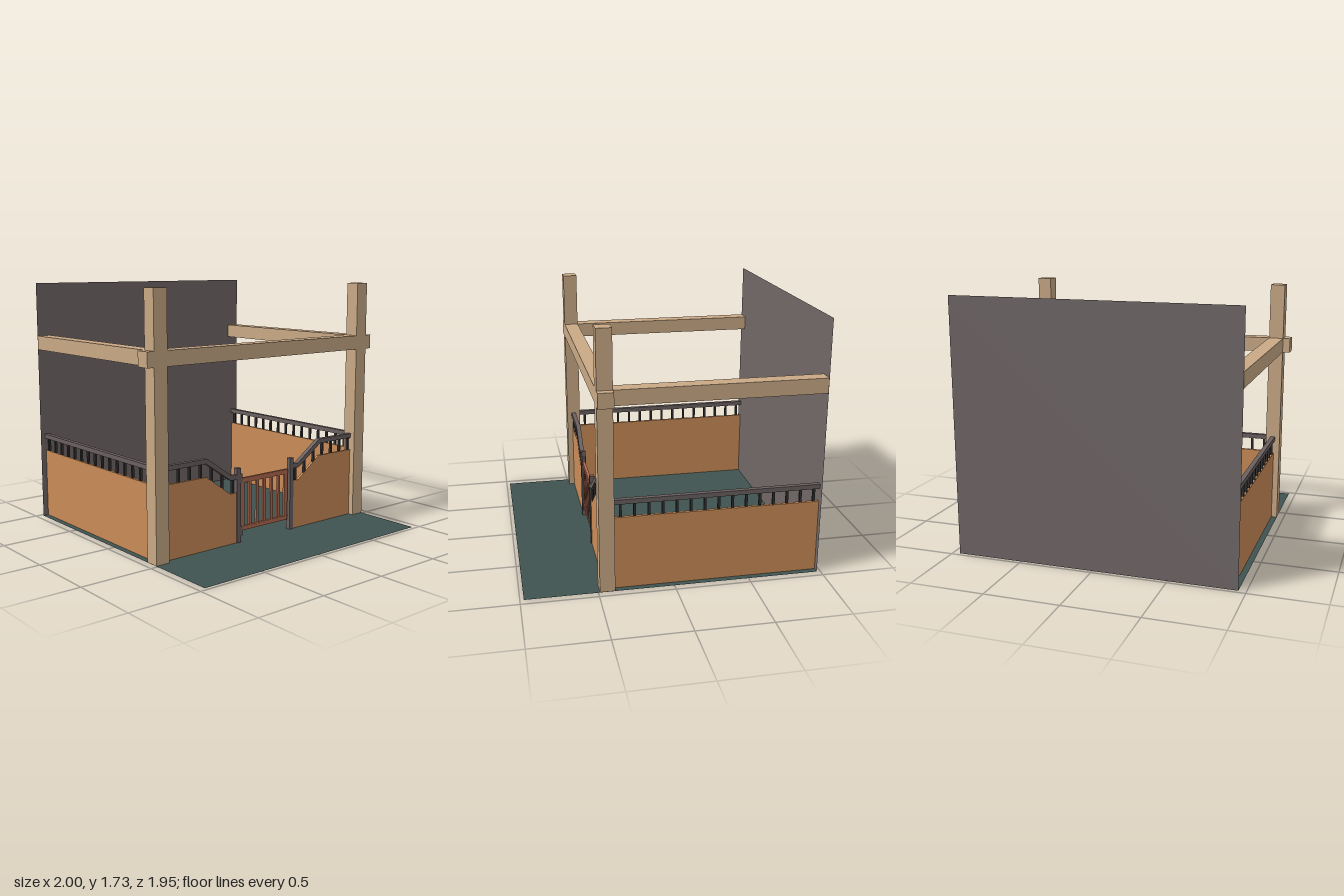
import * as THREE from 'three';

const mat = (name, color, extra = {}) => {
  const m = new THREE.MeshStandardMaterial({ color, ...extra });
  m.name = name;
  return m;
};

export function createModel() {
  const group = new THREE.Group();
  const timber = mat('pale timber', 0xc9a986);
  const panel = mat('orange panel', 0xc98b57);
  const rail = mat('grey rail', 0x6a6060);
  const dark = mat('dark baluster', 0x333031);
  const gateRed = mat('gate red', 0xb06a50);
  const floorGreen = mat('floor green', 0x405350, { side: THREE.DoubleSide });
  const wallGrey = mat('wall grey', 0x716767, { side: THREE.DoubleSide });

  const add = (name, geometry, material) => {
    const mesh = new THREE.Mesh(geometry, material);
    mesh.name = name;
    group.add(mesh);
    return mesh;
  };
  // box given by its limits on each axis
  const box = (name, material, x0, x1, y0, y1, z0, z1) => {
    const g = new THREE.BoxGeometry(x1 - x0, y1 - y0, z1 - z0);
    g.translate((x0 + x1) / 2, (y0 + y1) / 2, (z0 + z1) / 2);
    return add(name, g, material);
  };
  // outline in x and y, centred in depth on the front line
  const slab = (name, material, points, depth) => {
    const shape = new THREE.Shape(points.map(([x, y]) => new THREE.Vector2(x, y)));
    const g = new THREE.ExtrudeGeometry(shape, { depth, bevelEnabled: false });
    g.translate(0, 0, FRONT - depth / 2);
    return add(name, g, material);
  };
  const FRONT = 0.44, BACK = -0.975, LIFT = 0.001;

  // floor sheet and back wall sheet
  add('floor', new THREE.PlaneGeometry(1.9, 1.95).rotateX(-Math.PI / 2), floorGreen);
  add('backWall', new THREE.PlaneGeometry(1.9, 1.73).translate(0, 0.865, BACK), wallGrey);

  // timber frame
  box('frontBeam', timber, -1, 1, 1.25, 1.35, 0.39, 0.49);
  for (const s of [-1, 1]) {
    const x = s * 0.9;
    box('cornerPost', timber, x - 0.05, x + 0.05, LIFT, 1.73, 0.39, 0.49);
    box('sideBeam', timber, x - 0.05, x + 0.05, 1.25, 1.35, BACK + LIFT, 0.39);

    // side fence
    box('sidePanel', panel, x - 0.01, x + 0.01, LIFT, 0.497, BACK + LIFT, 0.39);
    box('sideRail', rail, x - 0.016, x + 0.016, 0.588, 0.62, BACK + LIFT, 0.39);
    for (let i = 0; i < 15; i++) {
      const z = 0.345 - i * 0.0916;
      box('sideBaluster', dark, x - 0.008, x + 0.008, 0.497, 0.59, z - 0.008, z + 0.008);
    }

    // front fence, dipping towards the gate
    const top = [[0.26, 0.35], [0.315, 0.35], [0.517, 0.497], [0.85, 0.497]];
    slab('frontPanel', panel,
      [[0.26, LIFT], ...top, [0.85, LIFT]].map(([px, y]) => [s * px, y]), 0.02);
    const railTop = [[0.25, 0.475], [0.305, 0.475], [0.515, 0.62], [0.85, 0.62]];
    const railLow = [[0.25, 0.443], [0.315, 0.443], [0.525, 0.588], [0.85, 0.588]];
    slab('frontRail', rail,
      [...railTop, ...railLow.reverse()].map(([px, y]) => [s * px, y]), 0.032);
    for (let i = 0; i < 7; i++) {
      const bx = 0.29 + i * 0.09;
      const t = THREE.MathUtils.clamp((bx - 0.315) / 0.202, 0, 1);
      const y = 0.35 + t * 0.147;
      box('frontBaluster', dark, s * bx - 0.008, s * bx + 0.008, y - 0.008, y + 0.1,
        FRONT - 0.008, FRONT + 0.008);
    }

    // gate post
    const px = s * 0.245;
    box('gatePost', rail, px - 0.017, px + 0.017, LIFT, 0.518, FRONT - 0.017, FRONT + 0.017);
  }

  // gate: rails, end stiles and slats
  box('gateTopRail', gateRed, -0.218, 0.212, 0.41, 0.443, FRONT - 0.01, FRONT + 0.01);
  box('gateBottomRail', gateRed, -0.218, 0.212, 0.078, 0.108, FRONT - 0.01, FRONT + 0.01);
  for (let i = 0; i < 7; i++) {
    const x = -0.203 + i * 0.0667;
    const w = i % 6 === 0 ? 0.015 : 0.011;
    box('gateSlat', gateRed, x - w, x + w, 0.108, 0.41, FRONT - 0.008, FRONT + 0.008);
  }
  // hinges
  for (const y of [0.045, 0.41]) {
    box('hinge', rail, -0.236, -0.21, y, y + 0.065, FRONT - 0.014, FRONT + 0.014);
  }
  return group;
}
